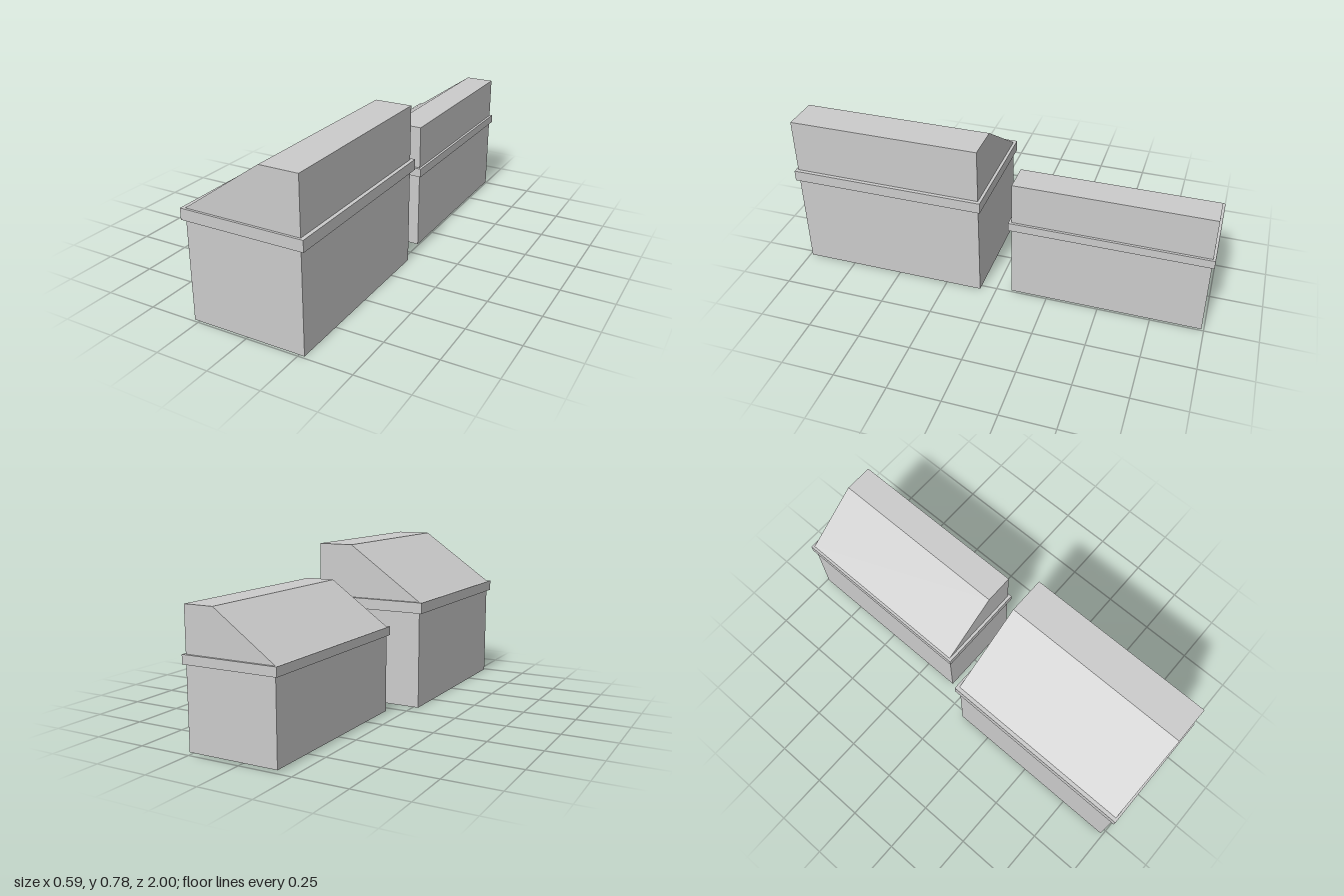
import * as THREE from 'three';

const material = new THREE.MeshStandardMaterial({ color: 0xcccccc, flatShading: true });

function box(name, x0, x1, y0, y1, z0, z1) {
  const mesh = new THREE.Mesh(new THREE.BoxGeometry(x1 - x0, y1 - y0, z1 - z0), material);
  mesh.position.set((x0 + x1) / 2, (y0 + y1) / 2, (z0 + z1) / 2);
  mesh.name = name;
  return mesh;
}

// One building: walls, projecting ledge and a roof sloping down towards -x
function building(name, { x, ridge, y, ledgeY, top, z, ledgeX, ledgeZ }) {
  const group = new THREE.Group();
  group.name = name;
  group.add(box('walls', x[0], x[1], y, ledgeY[0], z[0], z[1]));
  group.add(box('ledge', ledgeX[0], ledgeX[1], ledgeY[0], ledgeY[1], ledgeZ[0], ledgeZ[1]));

  // Roof: flat strip on the +x side, single slope on the other
  const profile = new THREE.Shape([
    new THREE.Vector2(x[0], ledgeY[1]),
    new THREE.Vector2(x[1], ledgeY[1]),
    new THREE.Vector2(x[1], top),
    new THREE.Vector2(ridge, top),
  ]);
  const roof = new THREE.Mesh(
    new THREE.ExtrudeGeometry(profile, { depth: z[1] - z[0], bevelEnabled: false }), material);
  roof.position.z = z[0];
  roof.name = 'roof';
  group.add(roof);
  return group;
}

export function createModel() {
  const model = new THREE.Group();
  model.name = 'buildings';
  model.add(building('frontBuilding', {
    x: [-0.275, 0.275], ridge: 0.096, y: 0, ledgeY: [0.467, 0.519], top: 0.778,
    z: [0.077, 0.989], ledgeX: [-0.293, 0.293], ledgeZ: [0.063, 1],
  }));
  model.add(building('rearBuilding', {
    x: [-0.178, 0.252], ridge: 0.111, y: 0.01, ledgeY: [0.378, 0.419], top: 0.622,
    z: [-0.989, -0.077], ledgeX: [-0.19, 0.264], ledgeZ: [-1, -0.063],
  }));
  return model;
}
